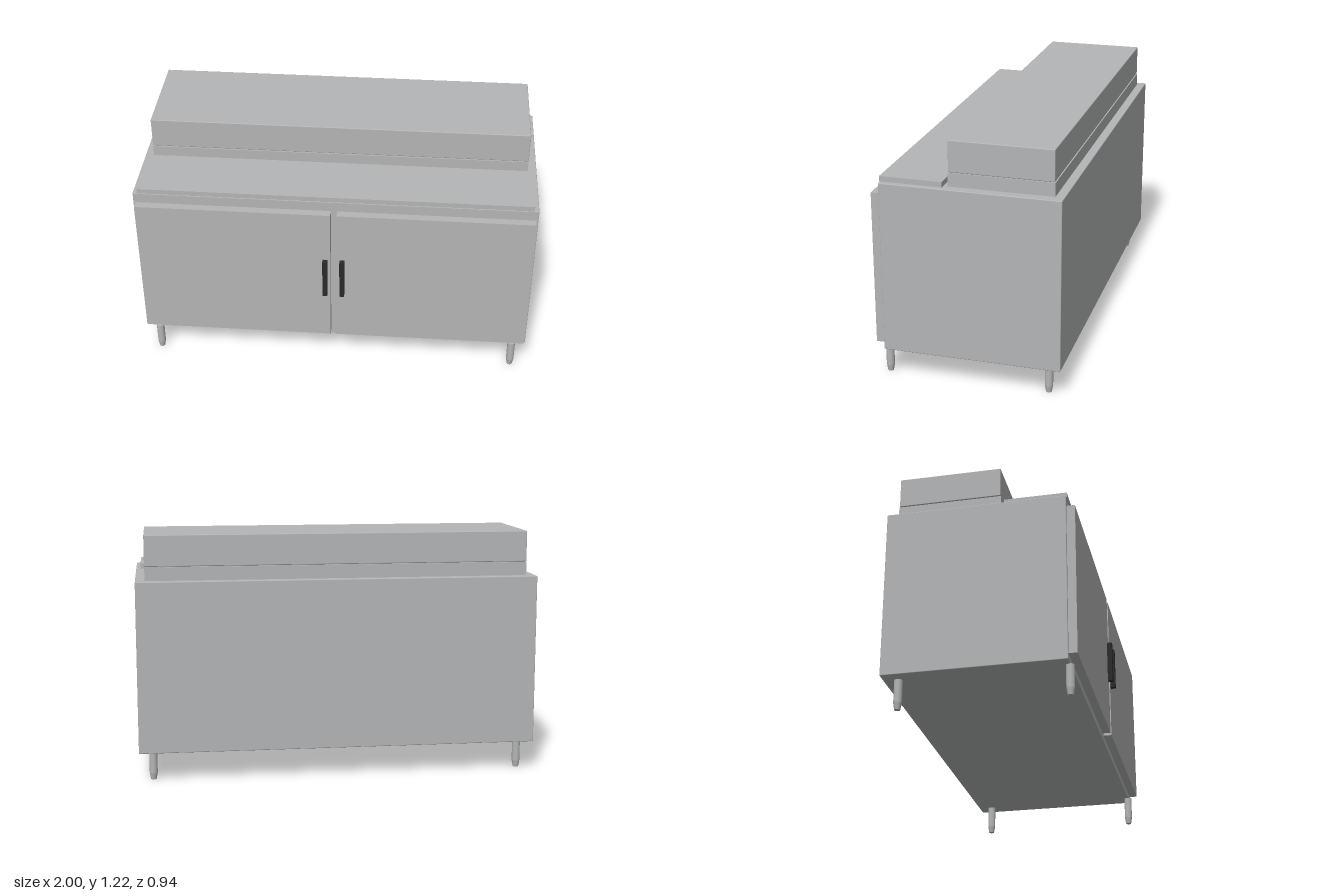
import * as THREE from 'three';
import { RoundedBoxGeometry } from 'three/addons/geometries/RoundedBoxGeometry.js';

export function createModel() {
  const model = new THREE.Group();
  model.name = 'prepCounter';

  const steel = new THREE.MeshStandardMaterial({ color: 0xb4b5b6 });
  steel.name = 'brushed steel';
  const black = new THREE.MeshStandardMaterial({ color: 0x2a2a2c });
  black.name = 'black handle';

  // Box given by its extents; a bevel softens the edges
  function box(name, material, [x0, x1], [y0, y1], [z0, z1], bevel = 0) {
    const size = [x1 - x0, y1 - y0, z1 - z0];
    const geometry = bevel
      ? new RoundedBoxGeometry(...size, 2, bevel)
      : new THREE.BoxGeometry(...size);
    const mesh = new THREE.Mesh(geometry, material);
    mesh.name = name;
    mesh.position.set((x0 + x1) / 2, (y0 + y1) / 2, (z0 + z1) / 2);
    model.add(mesh);
  }

  // Cabinet, raised pan housing with its lid, and the cutting board in front
  box('cabinet', steel, [-1, 1], [0.147, 1], [-0.471, 0.405], 0.004);
  box('panHousing', steel, [-0.953, 0.953], [0.998, 1.066], [-0.428, 0.08]);
  box('lid', steel, [-0.954, 0.954], [1.069, 1.223], [-0.426, 0.078], 0.004);
  box('lidSeam', steel, [-0.948, 0.948], [1.06, 1.075], [-0.422, 0.074]);
  box('cuttingBoard', steel, [-0.977, 0.977], [1.001, 1.027], [0.101, 0.406]);

  // Mirrored doors and handles
  for (const [side, s] of [['left', 1], ['right', -1]]) {
    const span = (a, b) => [Math.min(a * s, b * s), Math.max(a * s, b * s)];
    box(side + 'Door', steel, span(0.016, 0.989), [0.179, 0.946], [0.404, 0.446]);
    box(side + 'Handle', black, span(0.031, 0.055), [0.455, 0.671], [0.445, 0.471]);
  }

  // Legs with tapered feet: sharp profile corners come from doubled points
  const profile = [
    [0, 0], [0.014, 0], [0.014, 0], [0.02, 0.034], [0.02, 0.034], [0.02, 0.148], [0.02, 0.148], [0, 0.148],
  ].map(([r, y]) => new THREE.Vector2(r, y));
  const legGeometry = new THREE.LatheGeometry(profile, 20);
  for (const x of [-0.93, 0.93]) {
    for (const z of [-0.4, 0.402]) {
      const leg = new THREE.Mesh(legGeometry, steel);
      leg.name = (z > 0 ? 'front' : 'back') + (x > 0 ? 'Left' : 'Right') + 'Leg';
      leg.position.set(x, 0, z);
      model.add(leg);
    }
  }

  return model;
}
